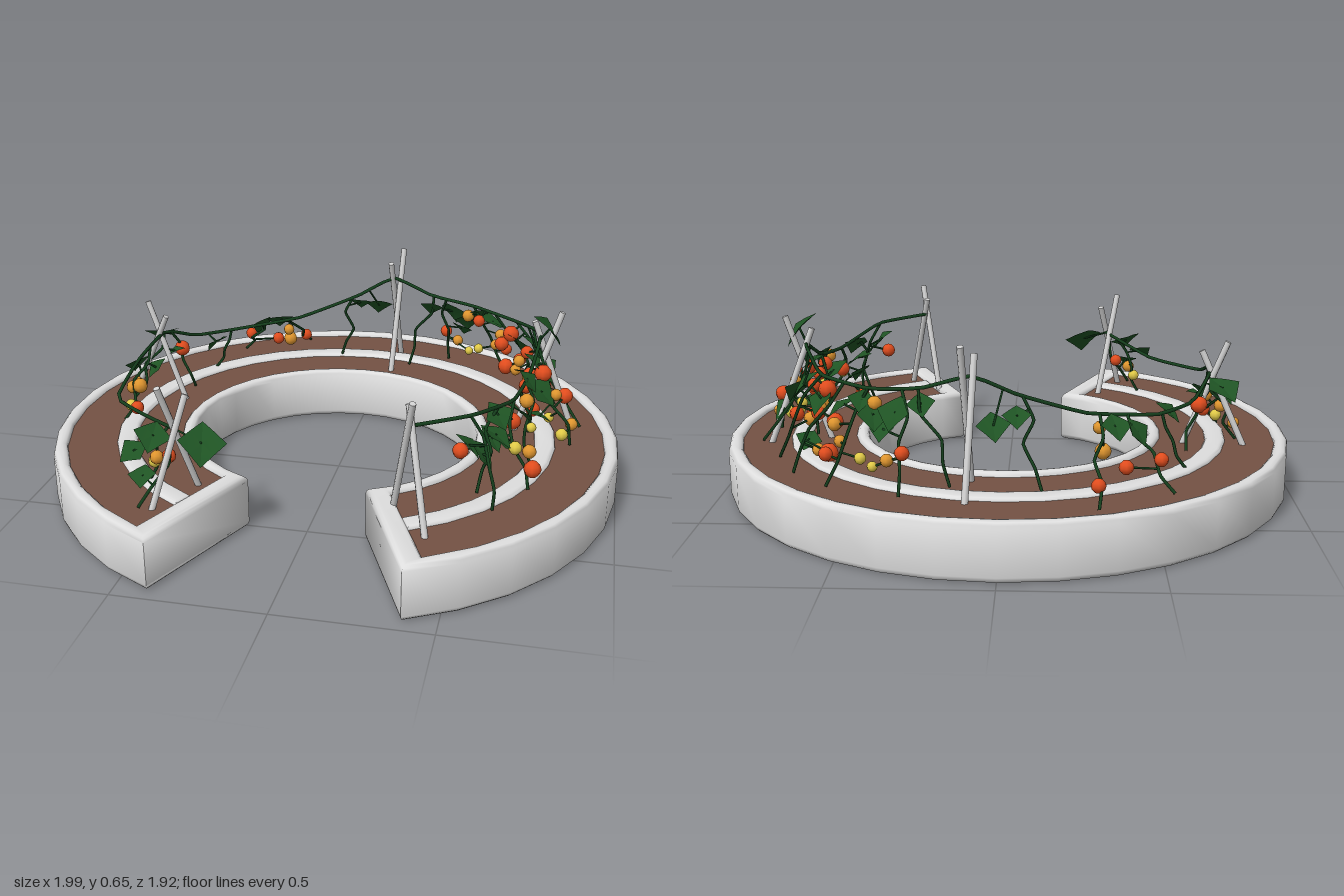
import * as THREE from 'three';
import { toCreasedNormals } from 'three/addons/utils/BufferGeometryUtils.js';

const mat = (name, color, side = THREE.FrontSide) => {
  const m = new THREE.MeshStandardMaterial({ color, side });
  m.name = name;
  return m;
};

const CZ = 0.04;           // centre of the ring in z
const GAP = 0.402;         // half angle of the front opening
const V = (x, y, z) => new THREE.Vector3(x, y, z);
const UP = V(0, 1, 0);

// C-shaped outline between two radii, its ends pulled back by d
function cShape(r0, r1, d = 0, n = 30) {
  const pts = [];
  const arc = (r, from, to) => {
    const a0 = GAP + Math.asin(d / r), span = 2 * Math.PI - 2 * a0;
    for (let i = 0; i <= n; i++) {
      const a = a0 + span * (from + (to - from) * i / n);
      pts.push(new THREE.Vector2(r * Math.sin(a), -(CZ + r * Math.cos(a))));
    }
  };
  arc(r1, 0, 1);
  arc(r0, 1, 0);
  return pts;
}

// Rounded-edge extrusion standing between y0 and y1
function slab(shape, y0, y1, bevel, crease) {
  const g = new THREE.ExtrudeGeometry(shape, {
    depth: y1 - y0 - 2 * bevel, bevelEnabled: true, bevelThickness: bevel,
    bevelSize: bevel, bevelOffset: -bevel, bevelSegments: 3,
  });
  g.rotateX(-Math.PI / 2).translate(0, y0 + bevel, 0);
  return toCreasedNormals(g, crease);
}

export function createModel() {
  const model = new THREE.Group();
  const stone = mat('pale stone', 0xdedede);
  const soilMat = mat('soil', 0x745244);
  const poleMat = mat('pole grey', 0xd2d2d2);
  const stemMat = mat('stem green', 0x15401d);
  const leafMat = mat('leaf green', 0x1f5424, THREE.DoubleSide);
  const red = mat('ripe red', 0xe24d1e), orange = mat('orange', 0xe0962f), yellow = mat('yellow', 0xe2cb48);

  let seed = 7;
  const rnd = () => (seed = (seed * 16807) % 2147483647) / 2147483647;
  const add = (parent, name, geo, material) => {
    const m = new THREE.Mesh(geo, material);
    m.name = name;
    parent.add(m);
    return m;
  };
  const rod = (parent, name, a, b, r, material, sides) => {
    const m = add(parent, name, new THREE.CylinderGeometry(r, r, a.distanceTo(b), sides), material);
    m.position.copy(a).add(b).multiplyScalar(0.5);
    m.quaternion.setFromUnitVectors(UP, b.clone().sub(a).normalize());
  };
  const group = (name) => {
    const g = new THREE.Group();
    g.name = name;
    model.add(g);
    return g;
  };

  // Planter walls, floor, soil and the path ring in the soil
  const wall = new THREE.Shape(cShape(0.505, 1));
  wall.holes.push(new THREE.Path(cShape(0.552, 0.95, 0.075)));
  add(model, 'planterWall', slab(wall, 0, 0.19, 0.02, 1.66), stone);
  add(model, 'planterFloor', new THREE.ShapeGeometry(new THREE.Shape(cShape(0.53, 0.975, 0.025)))
    .rotateX(Math.PI / 2).rotateY(Math.PI).translate(0, 0.001, 0), stone);
  add(model, 'soil', new THREE.ShapeGeometry(new THREE.Shape(cShape(0.54, 0.96, 0.065)))
    .rotateX(-Math.PI / 2).translate(0, 0.175, 0), soilMat);
  add(model, 'middleRing', slab(new THREE.Shape(cShape(0.71, 0.782, 0.07)), 0.14, 0.187, 0.014, 0.7), stone);

  // Crossed pole supports: angle from +z, radius of the crossing, height
  const frames = group('supports');
  [[-32, 0.73, 0.56], [-101.8, 0.73, 0.545], [171.7, 0.69, 0.645], [102, 0.735, 0.62], [30, 0.72, 0.59]]
    .forEach(([deg, r, top]) => {
      const a = deg * Math.PI / 180;
      const at = (dr, y, t) => V((r + dr) * Math.sin(a) + t * Math.cos(a), y, CZ + (r + dr) * Math.cos(a) - t * Math.sin(a));
      rod(frames, 'pole', at(-0.1, 0.16, -0.012), at(0.05, top, -0.012), 0.011, poleMat, 8);
      rod(frames, 'pole', at(0.12, 0.16, 0.012), at(-0.04, top - 0.04, 0.012), 0.011, poleMat, 8);
    });

  // Main vine strung from support to support
  const vines = group('vines');
  const samples = [];
  const tube = (pts, r, name) => {
    const curve = new THREE.CatmullRomCurve3(pts, false, 'catmullrom', 0.2);
    add(vines, name, new THREE.TubeGeometry(curve, pts.length * 4, r, 5), stemMat);
    samples.push(...curve.getPoints(pts.length * 6));
  };
  tube([[-0.38, 0.41, 0.66], [-0.55, 0.35, 0.46], [-0.72, 0.34, 0.31], [-0.72, 0.4, 0.1], [-0.7, 0.43, -0.13],
    [-0.63, 0.37, -0.27], [-0.5, 0.36, -0.4], [-0.27, 0.39, -0.5], [-0.05, 0.47, -0.58], [0.09, 0.54, -0.63],
    [0.25, 0.49, -0.59], [0.42, 0.475, -0.54], [0.6, 0.48, -0.38], [0.7, 0.53, -0.13], [0.68, 0.45, 0.05],
    [0.64, 0.43, 0.25], [0.53, 0.475, 0.5], [0.36, 0.485, 0.64]].map((p) => V(...p)), 0.0065, 'mainVine');
  const nearest = (p, list) => list.reduce((b, s) => (s.distanceTo(p) < b.distanceTo(p) ? s : b));

  // Hanging stems: start x, z on the vine and end x, z on the soil
  const mainLine = samples.slice();
  [[-0.32, -0.48, -0.3, -0.82], [-0.4, -0.45, -0.54, -0.66], [-0.05, -0.58, -0.13, -0.67], [0.25, -0.59, 0.16, -0.62],
    [0.3, -0.58, 0.31, -0.72], [0.42, -0.54, 0.55, -0.63], [0.52, -0.45, 0.68, -0.5], [0.6, -0.38, 0.76, -0.33],
    [0.68, -0.2, 0.86, -0.14], [0.7, -0.08, 0.83, 0.02], [0.68, 0.05, 0.68, -0.06], [0.67, 0.1, 0.71, 0.22],
    [0.64, 0.25, 0.71, 0.39], [0.6, 0.35, 0.55, 0.45], [0.52, 0.52, 0.61, 0.55], [-0.7, -0.13, -0.81, -0.06],
    [-0.72, 0.0, -0.77, 0.14], [-0.68, -0.18, -0.62, -0.22], [-0.52, -0.38, -0.6, -0.42],
    [-0.42, 0.61, -0.51, 0.58], [-0.4, 0.64, -0.48, 0.77]].forEach(([x0, z0, x1, z1]) => {
    const a = nearest(V(x0, 0.44, z0), mainLine), b = V(x1, 0.18, z1);
    const pts = [0, 0.25, 0.5, 0.75, 1].map((t) => a.clone().lerp(b, t)
      .add(V(rnd() - 0.5, 0, rnd() - 0.5).multiplyScalar(0.28 * t * (1 - t))));
    tube(pts, 0.0055, 'hangingStem');
  });
  const twig = (p) => {
    const s = nearest(p, samples);
    if (s.distanceTo(p) > 0.01) rod(vines, 'twig', s, p, 0.004, stemMat, 4);
  };

  // Fruit by colour: x, y, z
  const fruits = group('fruits');
  const fruit = (list, material, size) => list.forEach(([x, y, z]) => {
    const p = V(x, y, z);
    twig(p);
    add(fruits, 'fruit', new THREE.SphereGeometry(size * (0.85 + 0.3 * rnd()), 8, 6), material).position.copy(p);
  });
  fruit([[-0.5, 0.27, -0.6], [-0.39, 0.25, -0.62], [-0.3, 0.23, -0.74], [0.3, 0.31, -0.69], [0.55, 0.28, -0.61],
    [0.45, 0.44, -0.47], [0.54, 0.35, -0.48], [0.58, 0.43, -0.38], [0.62, 0.34, -0.35], [0.65, 0.41, -0.25],
    [0.67, 0.37, -0.14], [0.8, 0.33, -0.06], [0.68, 0.39, 0], [0.69, 0.26, -0.08], [0.72, 0.42, -0.03],
    [0.67, 0.41, 0.07], [0.64, 0.35, 0.24], [0.72, 0.25, 0.38], [0.5, 0.36, 0.52], [0.72, 0.3, -0.22],
    [-0.42, 0.3, 0.63], [-0.72, 0.23, 0.14], [-0.66, 0.34, -0.2], [0.56, 0.25, -0.5]], red, 0.027);
  fruit([[-0.31, 0.34, -0.49], [-0.32, 0.28, -0.55], [0.4, 0.43, -0.55], [0.35, 0.28, -0.67], [0.62, 0.35, -0.31],
    [0.66, 0.3, -0.28], [0.6, 0.25, -0.47], [0.77, 0.36, 0.01], [0.83, 0.25, 0], [0.68, 0.41, 0.2],
    [0.7, 0.23, 0.21], [-0.77, 0.27, 0.05], [-0.72, 0.3, 0.1], [-0.8, 0.24, -0.07], [-0.47, 0.28, 0.61],
    [0.53, 0.36, -0.55], [0.51, 0.31, -0.57]], orange, 0.024);
  fruit([[0.4, 0.25, -0.64], [0.44, 0.27, -0.62], [0.7, 0.31, 0.19], [0.75, 0.26, -0.02], [0.66, 0.31, 0.36],
    [-0.49, 0.25, 0.58], [-0.76, 0.22, 0.1], [0.7, 0.34, -0.22], [0.8, 0.23, 0.05]], yellow, 0.02);

  // Folded leaves tilted outward from the ring: x, y, z, size
  const leaves = group('leaves');
  const blade = new THREE.PlaneGeometry(1, 1, 2, 2).rotateZ(Math.PI / 4).rotateX(-Math.PI / 2);
  const bp = blade.attributes.position;
  for (let i = 0; i < bp.count; i++) bp.setY(i, 0.15 * Math.abs(bp.getX(i)) - 0.2 * bp.getZ(i) ** 2);
  const bladeGeo = toCreasedNormals(blade, 0.3);
  [[-0.43, 0.34, -0.53, 0.07], [-0.36, 0.36, -0.54, 0.07], [-0.05, 0.42, -0.65, 0.06], [0.02, 0.4, -0.69, 0.07],
    [0.25, 0.44, -0.59, 0.06], [0.33, 0.42, -0.62, 0.08], [0.4, 0.4, -0.58, 0.07], [0.5, 0.42, -0.53, 0.08],
    [0.6, 0.4, -0.39, 0.08], [0.68, 0.42, -0.28, 0.09], [0.72, 0.38, -0.18, 0.08], [0.73, 0.57, -0.07, 0.1],
    [0.72, 0.38, 0.04, 0.09], [0.66, 0.36, 0.18, 0.08], [0.58, 0.32, 0.32, 0.07], [0.6, 0.36, 0.38, 0.08],
    [0.57, 0.36, 0.53, 0.08], [0.53, 0.4, 0.56, 0.07], [-0.46, 0.38, 0.66, 0.08], [-0.52, 0.33, 0.68, 0.07],
    [-0.29, 0.38, 0.68, 0.1], [-0.47, 0.28, 0.74, 0.06], [-0.74, 0.4, -0.2, 0.09], [-0.66, 0.36, -0.12, 0.05],
    [-0.77, 0.34, -0.02, 0.07], [-0.69, 0.34, 0.01, 0.06], [-0.55, 0.34, -0.29, 0.07],
    [0.78, 0.3, -0.14, 0.07], [0.72, 0.28, 0.02, 0.06], [0.7, 0.44, -0.06, 0.08], [0.37, 0.36, -0.6, 0.06],
    [0.64, 0.27, -0.42, 0.06], [0.6, 0.42, 0.36, 0.07], [0.44, 0.44, -0.55, 0.06], [0.68, 0.44, 0.1, 0.06],
    [0.62, 0.3, 0.3, 0.06]].forEach(([x, y, z, s]) => {
    const p = V(x, y, z);
    twig(p);
    const leaf = add(leaves, 'leaf', bladeGeo, leafMat);
    leaf.position.copy(p);
    leaf.scale.setScalar(s * 1.1);
    leaf.rotation.set(0.35 + 0.6 * rnd(), Math.atan2(x, z - CZ) + (rnd() - 0.5) * 1.6, (rnd() - 0.5) * 0.6, 'YXZ');
  });

  return model;
}
